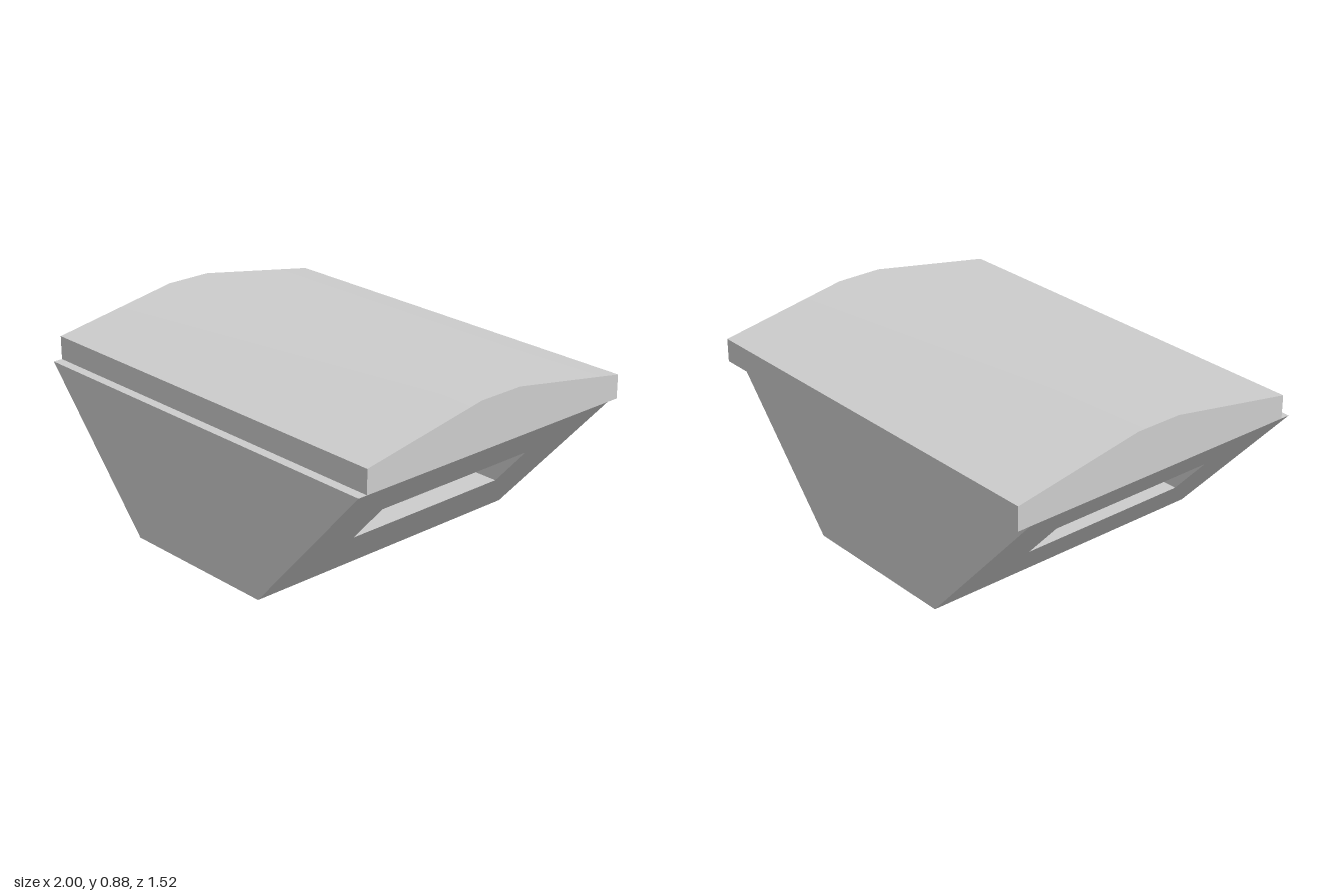
import * as THREE from 'three';
import { toCreasedNormals } from 'three/addons/utils/BufferGeometryUtils.js';

const H = 0.665;                       // height of the tapered base
const FRONT = 0.76, BACK = -0.70;      // ends of the base along z
const SHAFT = { x: 0.257, front: 0.625, back: -0.53 }; // vertical opening

// Polygon from [z, y] points; z is negated to suit the turn in extrudeAcross
const outline = (points, Type = THREE.Shape) =>
  new Type(points.map(([z, y]) => new THREE.Vector2(-z, y)));

// Rectangle running from front to back, so that it turns counter-clockwise
const rect = (front, back, y0, y1) => [[front, y0], [back, y0], [back, y1], [front, y1]];

// Extrude a z-y profile along +x
function extrudeAcross(shape, depth) {
  return new THREE.ExtrudeGeometry(shape, { depth, bevelEnabled: false }).rotateY(Math.PI / 2);
}

// Side wall with a window: plumb inside, leaning outward outside
function sideWall(side) {
  const shape = outline(rect(FRONT, BACK, 0, H));
  // the hole runs the opposite way round to the wall
  shape.holes.push(outline(rect(0.453, -0.395, 0.275, 0.46).reverse(), THREE.Path));
  const geometry = extrudeAcross(shape, 1);
  const p = geometry.attributes.position;
  for (let i = 0; i < p.count; i++) {
    const outer = (p.getX(i) > 0.5) === (side > 0);
    p.setX(i, side * (outer ? 0.4 + 0.6 * p.getY(i) / H : SHAFT.x));
  }
  geometry.computeVertexNormals();
  return geometry;
}

// Wall filling the space between the two sides
function endWall(z0, z1) {
  return new THREE.BoxGeometry(SHAFT.x * 2, H, z1 - z0).translate(0, H / 2, (z0 + z1) / 2);
}

export function createModel() {
  const model = new THREE.Group();
  model.name = 'taperedBaseWithRoof';
  const grey = new THREE.MeshStandardMaterial({ color: 0xcccccc });
  grey.name = 'plain grey';

  const add = (parent, name, geometry) => {
    const mesh = new THREE.Mesh(geometry, grey);
    mesh.name = name;
    parent.add(mesh);
  };

  // Hollow base around the shaft
  const base = new THREE.Group();
  base.name = 'base';
  model.add(base);
  add(base, 'leftWall', sideWall(1));
  add(base, 'rightWall', sideWall(-1));
  add(base, 'frontWall', endWall(SHAFT.front, FRONT));
  add(base, 'backWall', endWall(BACK, SHAFT.back));

  // Gently pitched roof, smooth over the ridge and set slightly back
  const profile = outline([
    [0.715, H], [0.715, 0.775], [0.09, 0.885],
    [-0.135, 0.885], [-0.76, 0.775], [-0.76, H],
  ]);
  add(model, 'roof', toCreasedNormals(extrudeAcross(profile, 2).translate(-1, 0, 0), 0.5));

  return model;
}
